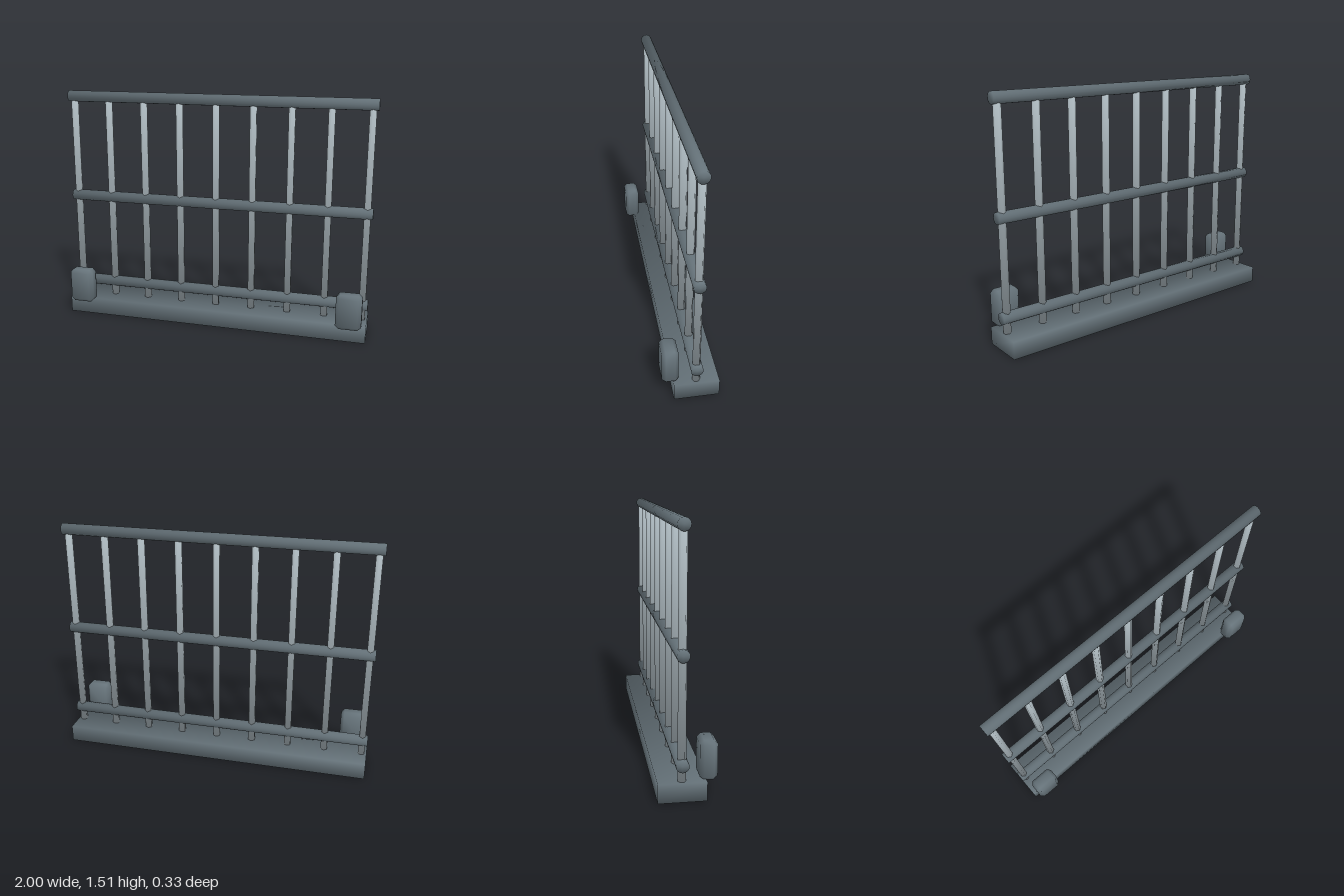
import * as THREE from 'three';
import { ConvexGeometry } from 'three/addons/geometries/ConvexGeometry.js';

// Share one averaged normal between all corners that meet at a point
function soften(geometry) {
  const pos = geometry.attributes.position, nor = geometry.attributes.normal;
  const sums = new Map();
  const key = (i) => [pos.getX(i), pos.getY(i), pos.getZ(i)].map((v) => Math.round(v * 1e4)).join();
  const n = new THREE.Vector3();
  for (let i = 0; i < pos.count; i++) {
    const k = key(i);
    if (!sums.has(k)) sums.set(k, new THREE.Vector3());
    sums.get(k).add(n.fromBufferAttribute(nor, i));
  }
  for (let i = 0; i < pos.count; i++) {
    n.copy(sums.get(key(i))).normalize();
    nor.setXYZ(i, n.x, n.y, n.z);
  }
  return geometry;
}

// Box with every edge and corner cut off at the given chamfer
function chamferedBox(w, h, d, c) {
  const points = [];
  for (const x of [-1, 1]) for (const y of [-1, 1]) for (const z of [-1, 1]) {
    for (let axis = 0; axis < 3; axis++) {
      const cut = [c, c, c];
      cut[axis] = 0;
      points.push(new THREE.Vector3(x * (w / 2 - cut[0]), y * (h / 2 - cut[1]), z * (d / 2 - cut[2])));
    }
  }
  return new ConvexGeometry(points);
}

export function createModel() {
  const group = new THREE.Group();
  const darkSteel = new THREE.MeshStandardMaterial({ color: 0x66737a });
  darkSteel.name = 'dark steel';
  const paleSteel = new THREE.MeshStandardMaterial({ color: 0xa9b5bb });
  paleSteel.name = 'pale steel';

  const add = (name, geometry, material, x, y, z) => {
    const mesh = new THREE.Mesh(geometry, material);
    mesh.name = name;
    mesh.position.set(x, y, z);
    group.add(mesh);
    return mesh;
  };

  const axisZ = -0.032;

  // Base beam
  add('base', soften(new THREE.BoxGeometry(2, 0.108, 0.268)), darkSteel, 0, 0.054, axisZ);

  // Horizontal rails
  const railGeometry = soften(new THREE.CylinderGeometry(0.036, 0.036, 2, 16).rotateZ(Math.PI / 2));
  [['lowerRail', 0.203], ['middleRail', 0.803], ['topRail', 1.47]].forEach(([name, y]) =>
    add(name, railGeometry, darkSteel, 0, y, axisZ));

  // Nine six-sided upright bars
  const barBottom = 0.1, barTop = 1.47;
  const barGeometry = soften(new THREE.CylinderGeometry(0.0235, 0.0235, barTop - barBottom, 6));
  for (let i = 0; i < 9; i++) {
    add(`bar${i + 1}`, barGeometry, paleSteel, (i - 4) * 0.2412, (barBottom + barTop) / 2, axisZ);
  }

  // Chamfered blocks at the front corners
  const blockGeometry = soften(chamferedBox(0.16, 0.226, 0.098, 0.022));
  for (const [name, side] of [['leftBlock', 1], ['rightBlock', -1]]) {
    add(name, blockGeometry, darkSteel, side * 0.893, 0.212, 0.117);
  }

  return group;
}
